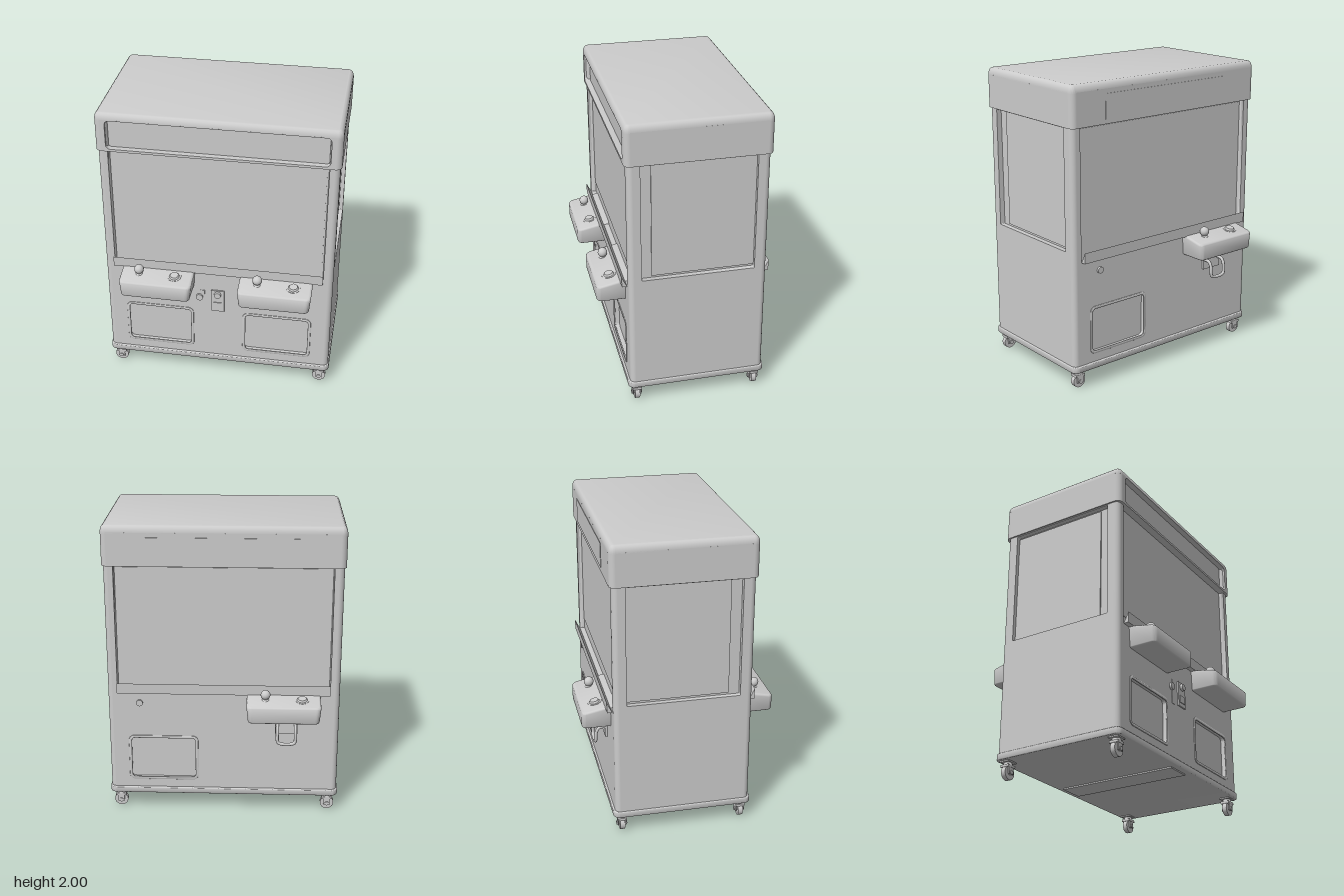
import * as THREE from 'three';
import { toCreasedNormals } from 'three/addons/utils/BufferGeometryUtils.js';

const grey = new THREE.MeshStandardMaterial({ color: 0xcccccc });
grey.name = 'light grey';

function add(parent, name, geometry, x = 0, y = 0, z = 0) {
  const m = new THREE.Mesh(geometry, grey);
  m.name = name;
  m.position.set(x, y, z);
  parent.add(m);
  return m;
}

const box = (w, h, d) => new THREE.BoxGeometry(w, h, d);

function group(parent, name, x = 0, y = 0, z = 0, ry = 0) {
  const g = new THREE.Group();
  g.name = name;
  g.position.set(x, y, z);
  g.rotation.y = ry;
  parent.add(g);
  return g;
}

// Rounded rectangle outline between two corners
function roundRect(T, x0, y0, x1, y1, r) {
  const s = new T();
  s.moveTo(x0 + r, y0);
  s.lineTo(x1 - r, y0);
  s.absarc(x1 - r, y0 + r, r, -Math.PI / 2, 0);
  s.lineTo(x1, y1 - r);
  s.absarc(x1 - r, y1 - r, r, 0, Math.PI / 2);
  s.lineTo(x0 + r, y1);
  s.absarc(x0 + r, y1 - r, r, Math.PI / 2, Math.PI);
  s.lineTo(x0, y0 + r);
  s.absarc(x0 + r, y0 + r, r, Math.PI, Math.PI * 1.5);
  return s;
}

function extrude(shape, depth, bevel = 0, thickness = bevel) {
  return new THREE.ExtrudeGeometry(shape, {
    depth, bevelEnabled: bevel > 0, bevelSize: bevel, bevelThickness: thickness, bevelSegments: 4, curveSegments: 6,
  });
}

const smooth = (g) => toCreasedNormals(g, 0.6);

// Flat wall with its outer face at z = 0 and openings [x0, y0, x1, y1, r]
function wall(w, y0, y1, t, openings) {
  const s = new THREE.Shape([[-w, y0], [w, y0], [w, y1], [-w, y1]].map((p) => new THREE.Vector2(...p)));
  for (const o of openings) s.holes.push(roundRect(THREE.Path, ...o));
  return smooth(extrude(s, t).translate(0, 0, -t));
}

// Cabinet section: solid core, rounded corner posts and four walls
function section(parent, name, X, Z, y0, y1, t, front, back, side) {
  const g = group(parent, name);
  const h = y1 - y0, mid = (y0 + y1) / 2;
  add(g, 'core', box(2 * (X - t), h, 2 * (Z - t)), 0, mid, 0);
  for (const sx of [-1, 1]) {
    for (const sz of [-1, 1]) {
      add(g, 'cornerPost', new THREE.CylinderGeometry(t, t, h, 24), sx * (X - t), mid, sz * (Z - t));
    }
    add(g, 'sideWall', wall(Z - t, y0, y1, t, side), sx * X).rotation.y = sx * Math.PI / 2;
  }
  add(g, 'frontWall', wall(X - t, y0, y1, t, front), 0, 0, Z);
  add(g, 'backWall', wall(X - t, y0, y1, t, back), 0, 0, -Z).rotation.y = Math.PI;
  return g;
}

// Raised soft rim around a prize door
function doorRim(parent, x0, x1) {
  const s = roundRect(THREE.Shape, x0 - 0.006, 0.224, x1 + 0.006, 0.546, 0.035);
  s.holes.push(roundRect(THREE.Path, x0 + 0.006, 0.236, x1 - 0.006, 0.534, 0.026));
  add(parent, 'doorRim', smooth(extrude(s, 0.002, 0.004)), 0, 0, -0.002);
}

// Control shelf with a tilted top, joystick and push button
function controlShelf(parent, x, z, ry) {
  const g = group(parent, 'controlShelf', x, 0, z, ry);
  const geo = extrude(roundRect(THREE.Shape, -0.228, -0.17, 0.228, 0.05, 0.02), 0.1, 0.015).rotateX(-Math.PI / 2);
  const p = geo.attributes.position;
  for (let i = 0; i < p.count; i++) {
    const top = p.getY(i) > 0.05;
    if (top) p.setY(i, p.getY(i) + 0.02 - 0.2 * p.getZ(i));
    else p.setX(i, p.getX(i) * 0.965);
  }
  add(g, 'shelfBody', smooth(geo), 0, 0.745, 0);
  const deck = group(g, 'deck', 0, 0.858, 0.085);
  deck.rotation.x = 0.2;
  const joy = group(deck, 'joystick', -0.12);
  joy.rotation.x = -0.2;
  add(joy, 'collar', new THREE.CylinderGeometry(0.018, 0.034, 0.02, 16), 0, 0, 0);
  add(joy, 'stem', new THREE.CylinderGeometry(0.01, 0.013, 0.04, 12), 0, 0.018, 0);
  add(joy, 'knob', new THREE.SphereGeometry(0.032, 16, 12), 0, 0.038, 0);
  add(deck, 'buttonRing', new THREE.CylinderGeometry(0.047, 0.05, 0.014, 10), 0.12, 0, 0);
  add(deck, 'pushButton', new THREE.CylinderGeometry(0.028, 0.036, 0.014, 10), 0.12, 0.012, 0);
}

function caster(parent, x, z) {
  const g = group(parent, 'caster', x, 0, z);
  add(g, 'mountPlate', box(0.08, 0.012, 0.07), 0, 0.118, 0);
  add(g, 'swivel', new THREE.CylinderGeometry(0.025, 0.032, 0.025, 16), 0, 0.102, 0);
  add(g, 'forkTop', box(0.07, 0.016, 0.062), 0, 0.087, 0);
  add(g, 'wheel', new THREE.CylinderGeometry(0.046, 0.046, 0.032, 20).rotateX(Math.PI / 2), 0, 0.046, 0);
  for (const s of [-1, 1]) {
    add(g, 'forkArm', box(0.045, 0.055, 0.008), 0, 0.063, s * 0.025);
    add(g, 'axleCap', new THREE.CylinderGeometry(0.014, 0.014, 0.07, 12).rotateX(Math.PI / 2), 0, 0.046, 0);
  }
}

export function createModel() {
  const model = new THREE.Group();
  model.name = 'prizeCabinet';

  // Main cabinet with window and door openings
  const windowHole = [-0.705, 0.87, 0.705, 1.735, 0.005];
  const doors = [[-0.63, 0.23, -0.18, 0.54, 0.03], [0.18, 0.23, 0.63, 0.54, 0.03]];
  section(model, 'cabinet', 0.77, 0.452, 0.12, 1.75, 0.035,
    [windowHole, ...doors], [windowHole, doors[0]], [[-0.37, 0.935, 0.37, 1.73, 0.005]]);

  // Front and back fittings, built facing +z
  const faces = [group(model, 'frontFittings', 0, 0, 0.452), group(model, 'backFittings', 0, 0, -0.452, Math.PI)];
  for (const f of faces) {
    const sill = new THREE.Shape([[0, 0.868], [0.034, 0.868], [0.036, 0.94]].map((p) => new THREE.Vector2(...p)));
    add(f, 'windowSill', extrude(sill, 1.41).rotateY(-Math.PI / 2), 0.705, 0, 0);
    add(f, 'windowPane', box(1.38, 0.77, 0.006), 0, 1.335, -0.034);
    doorRim(f, -0.63, -0.18);
  }
  doorRim(faces[0], 0.18, 0.63);

  // Side window panes, set back inside their frames
  for (const s of [-1, 1]) {
    const g = group(model, 'sideWindow', s * 0.735, 0, 0, s * Math.PI / 2);
    add(g, 'pane', box(0.67, 0.77, 0.008), s * 0.035, 1.335, 0.004);
  }

  // Base skirt and floor hatch
  const skirt = extrude(roundRect(THREE.Shape, -0.77, -0.458, 0.77, 0.458, 0.035), 0.03, 0.007);
  add(model, 'baseSkirt', smooth(skirt.rotateX(-Math.PI / 2)), 0, 0.127, 0);
  add(model, 'floorHatch', box(0.18, 0.01, 0.84), 0, 0.116, 0);

  // Overhanging cap with the sign recess
  const X = 0.78, Z = 0.468;
  section(model, 'cap', X, Z, 1.735, 1.955, 0.04, [[-0.71, 1.752, 0.71, 1.95, 0.03]], [], []);
  const lid = extrude(roundRect(THREE.Shape, -X + 0.03, -Z + 0.03, X - 0.03, Z - 0.03, 0.01), 0.004, 0.03, 0.046);
  lid.rotateX(-Math.PI / 2);
  const lp = lid.attributes.position;
  for (let i = 0; i < lp.count; i++) if (lp.getY(i) < 0) lp.setY(i, 0);
  add(model, 'lid', smooth(lid), 0, 1.95, 0);
  add(model, 'backSignPlate', box(1, 0.16, 0.006), 0.02, 1.845, -Z);

  // Control shelves: two in front, one behind
  controlShelf(model, -0.398, 0.452, 0);
  controlShelf(model, 0.398, 0.452, 0);
  controlShelf(model, -0.398, -0.452, Math.PI);

  // Coin slot and lock between the front shelves
  const coin = group(model, 'coinUnit', 0, 0, 0.452);
  add(coin, 'coinPlate', box(0.09, 0.17, 0.012), 0, 0.635, 0.004);
  add(coin, 'returnFlap', box(0.06, 0.05, 0.01), 0, 0.6, 0.01);
  add(coin, 'coinKnob', new THREE.CylinderGeometry(0.022, 0.026, 0.024, 16).rotateX(Math.PI / 2), 0, 0.688, 0.014);
  add(coin, 'lockPlate', box(0.03, 0.17, 0.006), -0.105, 0.625, 0.001);
  add(coin, 'lock', new THREE.CylinderGeometry(0.024, 0.024, 0.02, 16).rotateX(Math.PI / 2), -0.125, 0.655, 0.006);

  // Rear lock and pull handle under the back shelf
  const rear = faces[1];
  add(rear, 'rearLock', new THREE.CylinderGeometry(0.022, 0.022, 0.02, 16).rotateX(Math.PI / 2), -0.56, 0.79, 0.004);
  add(rear, 'handlePlate', box(0.15, 0.1, 0.02), 0.42, 0.635, 0.006);
  add(rear, 'handleClip', box(0.05, 0.03, 0.045), 0.42, 0.7, 0.02);
  const path = new THREE.CatmullRomCurve3([
    [-0.06, 0.65, 0], [-0.06, 0.65, 0.05], [-0.06, 0.62, 0.072], [-0.055, 0.55, 0.078], [-0.03, 0.54, 0.08],
    [0.03, 0.54, 0.08], [0.055, 0.55, 0.078], [0.06, 0.62, 0.072], [0.06, 0.65, 0.05], [0.06, 0.65, 0],
  ].map((p) => new THREE.Vector3(...p)));
  add(rear, 'pullHandle', new THREE.TubeGeometry(path, 48, 0.011, 8), 0.42, 0, 0);

  // Casters at the four corners
  for (const x of [-0.71, 0.71]) for (const z of [-0.405, 0.405]) caster(model, x, z);

  return model;
}
